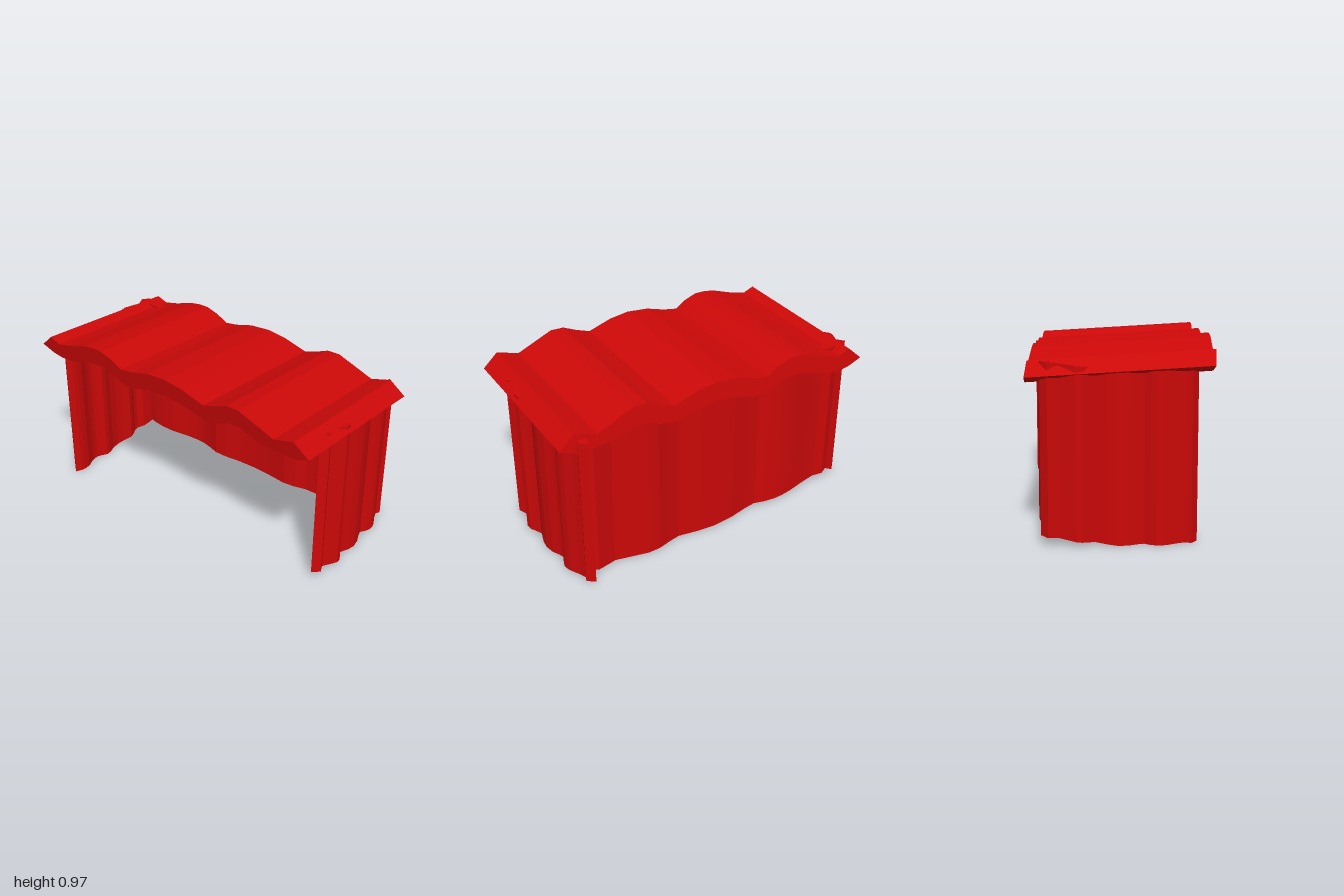
import * as THREE from 'three';

const material = new THREE.MeshStandardMaterial({ color: 0xcc0808, flatShading: true, side: THREE.DoubleSide });

// Corrugated upper outline shared by every sheet: [fraction of length, height]
const outline = [
  [0, 0.01], [0.045, 0.08], [0.08, 0.055], [0.13, 0.075], [0.2, 0.115], [0.235, 0.125], [0.27, 0.125],
  [0.31, 0.1], [0.345, 0.062], [0.39, 0.075], [0.45, 0.105], [0.52, 0.115], [0.58, 0.1],
  [0.655, 0.058], [0.7, 0.085], [0.74, 0.115], [0.78, 0.117], [0.83, 0.08], [0.89, 0.035],
  [0.955, 0.07], [1, 0],
];

// Thick sheet with pointed ends; the underside follows the waves of the top
function sheetGeometry() {
  const under = outline.slice(1, -1).map(([t, h]) => [t, Math.max(h - 0.1, -0.03)]).reverse();
  const shape = new THREE.Shape([...outline, ...under].map(([t, h]) => new THREE.Vector2(t, h)));
  return new THREE.ExtrudeGeometry(shape, { depth: 1, bevelEnabled: false });
}

// Places a sheet: waves run along "along", rise along "out", sheet extends along "sweep"
function addSheet(group, name, geometry, origin, along, out, sweep) {
  const matrix = new THREE.Matrix4().makeBasis(along, out, sweep).setPosition(origin);
  const mesh = new THREE.Mesh(geometry.applyMatrix4(matrix), material);
  geometry.computeVertexNormals();
  mesh.name = name;
  group.add(mesh);
}

// Upright wall between two ground points; lift(t) raises one end off the ground
function addWall(group, name, [x0, z0], [x1, z1], lift) {
  const geometry = sheetGeometry();
  const p = geometry.attributes.position;
  const height = 0.83;
  for (let i = 0; i < p.count; i++) p.setZ(i, p.getZ(i) + lift(p.getX(i)) / height);
  const along = new THREE.Vector3(x1 - x0, 0, z1 - z0);
  const sweep = new THREE.Vector3(0, height, 0);
  const out = new THREE.Vector3().crossVectors(sweep, along).setLength(0.55);
  addSheet(group, name, geometry, new THREE.Vector3(x0, 0, z0), along, out, sweep);
}

export function createModel() {
  const group = new THREE.Group();
  group.name = 'corrugatedShelter';

  // Roof, sloping down to the back, ridges leaning slightly forward
  addSheet(
    group, 'roof', sheetGeometry(),
    new THREE.Vector3(-1, 0.795, -0.2),
    new THREE.Vector3(1.77, 0, -0.43),
    new THREE.Vector3(0, 1, 0.13),
    new THREE.Vector3(0.23, 0.05, 0.85),
  );

  // Three walls, slightly turned against the roof; the front is open
  const raiseEnd = (t) => 0.045 * Math.max(0, (t - 0.5) / 0.5);
  const raiseStart = (t) => raiseEnd(1 - t);
  addWall(group, 'rightWall', [0.63, -0.652], [0.89, 0.06], raiseEnd);
  addWall(group, 'leftWall', [-0.69, 0.56], [-0.92, -0.15], raiseEnd);
  addWall(group, 'backWall', [-0.91, -0.1], [0.68, -0.55], raiseStart);

  return group;
}
